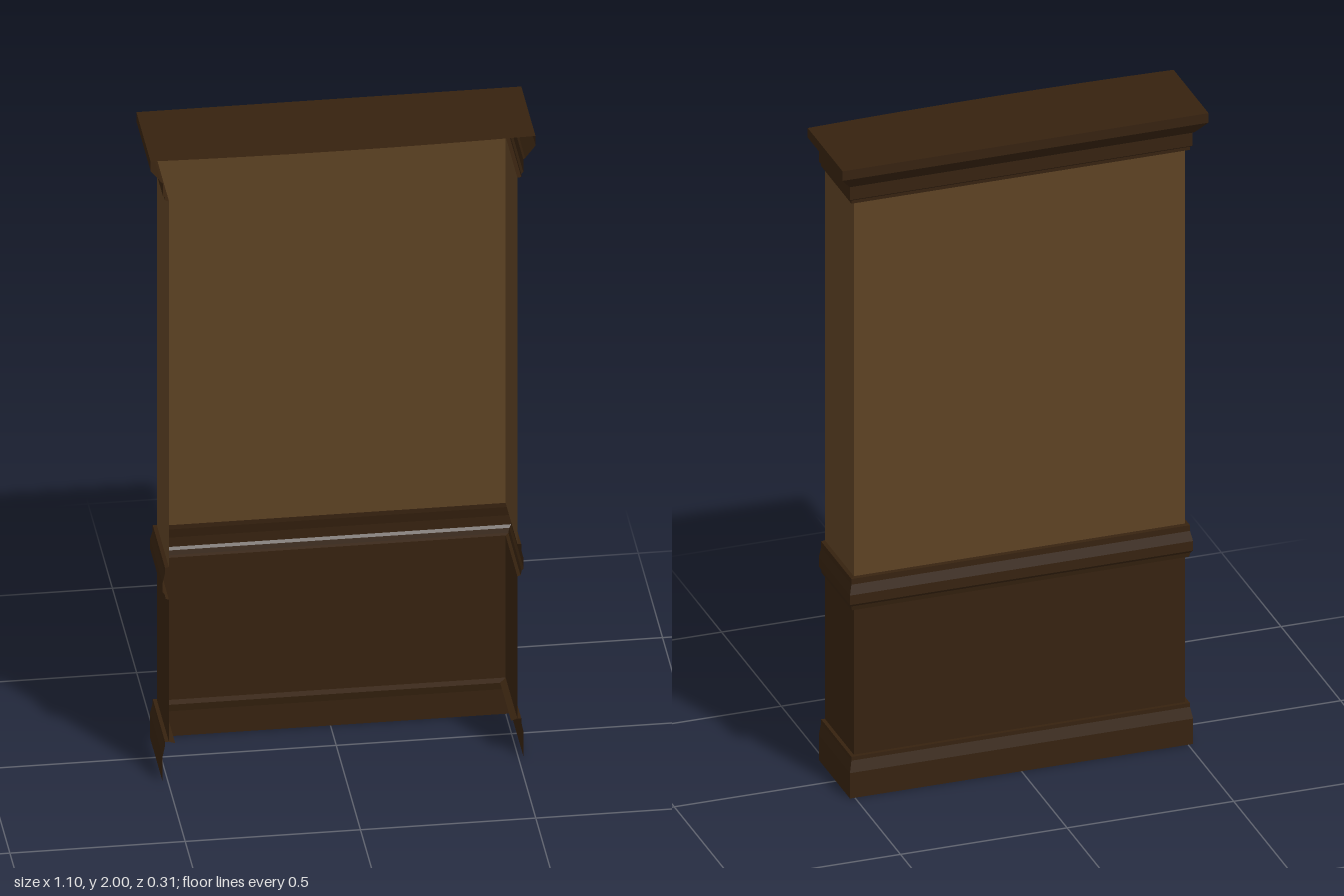
import * as THREE from 'three';

const HALF = 0.497, BACK = -0.1, FRONT = 0.143;

// Sweep a profile of [outward offset, height] around the two sides and the back
function sweep(profile) {
  const path = (d) => [
    [-HALF - d, FRONT], [-HALF - d, BACK - d],
    [HALF + d, BACK - d], [HALF + d, FRONT],
  ];
  const pos = [];
  for (let i = 0; i < profile.length - 1; i++) {
    const [d0, y0] = profile[i], [d1, y1] = profile[i + 1];
    const lo = path(d0), hi = path(d1);
    for (let k = 0; k < 3; k++) {
      const a = [lo[k][0], y0, lo[k][1]], b = [lo[k + 1][0], y0, lo[k + 1][1]];
      const c = [hi[k + 1][0], y1, hi[k + 1][1]], e = [hi[k][0], y1, hi[k][1]];
      pos.push(...a, ...c, ...b, ...a, ...e, ...c);
    }
  }
  const g = new THREE.BufferGeometry();
  g.setAttribute('position', new THREE.Float32BufferAttribute(pos, 3));
  g.computeVertexNormals();
  return g;
}

export function createModel() {
  const group = new THREE.Group();
  const wall = new THREE.MeshStandardMaterial({ color: 0x5d4223, side: THREE.DoubleSide });
  wall.name = 'lightWood';
  const trim = new THREE.MeshStandardMaterial({ color: 0x36220f, side: THREE.DoubleSide });
  trim.name = 'darkWood';

  const add = (name, geometry, material) => {
    const mesh = new THREE.Mesh(geometry, material);
    mesh.name = name;
    group.add(mesh);
  };

  // Baseboard with a small inward lip at its top
  add('baseboard', sweep([
    [0.018, 0], [0.018, 0.08], [0.011, 0.115], [0.011, 0.127], [0, 0.127], [-0.018, 0.121],
  ]), trim);

  // Lower panelling
  add('wainscot', sweep([[0, 0.127], [0, 0.585]]), trim);

  // Rounded rail between the two panels
  add('chairRail', sweep([
    [0, 0.585], [0.009, 0.588], [0.012, 0.602], [0.018, 0.61], [0.018, 0.64],
    [0.011, 0.67], [0.011, 0.688], [0, 0.69],
  ]), trim);

  // Upper wall
  add('upperWall', sweep([[0, 0.69], [0, 1.87]]), wall);

  // Flaring crown moulding
  add('cornice', sweep([
    [0, 1.87], [0.011, 1.872], [0.011, 1.882], [0.017, 1.887], [0.017, 1.928],
    [0.022, 1.932], [0.052, 1.97], [0.052, 2],
  ]), trim);

  // Top board with a slightly bowed front edge
  const s = new THREE.Shape();
  s.moveTo(-HALF - 0.052, -BACK + 0.052);
  s.lineTo(-HALF - 0.052, -0.141);
  s.quadraticCurveTo(0, -0.165, HALF + 0.052, -0.141);
  s.lineTo(HALF + 0.052, -BACK + 0.052);
  s.closePath();
  const top = new THREE.ShapeGeometry(s, 8);
  top.rotateX(-Math.PI / 2);
  top.translate(0, 2, 0);
  add('topBoard', top, trim);

  return group;
}
